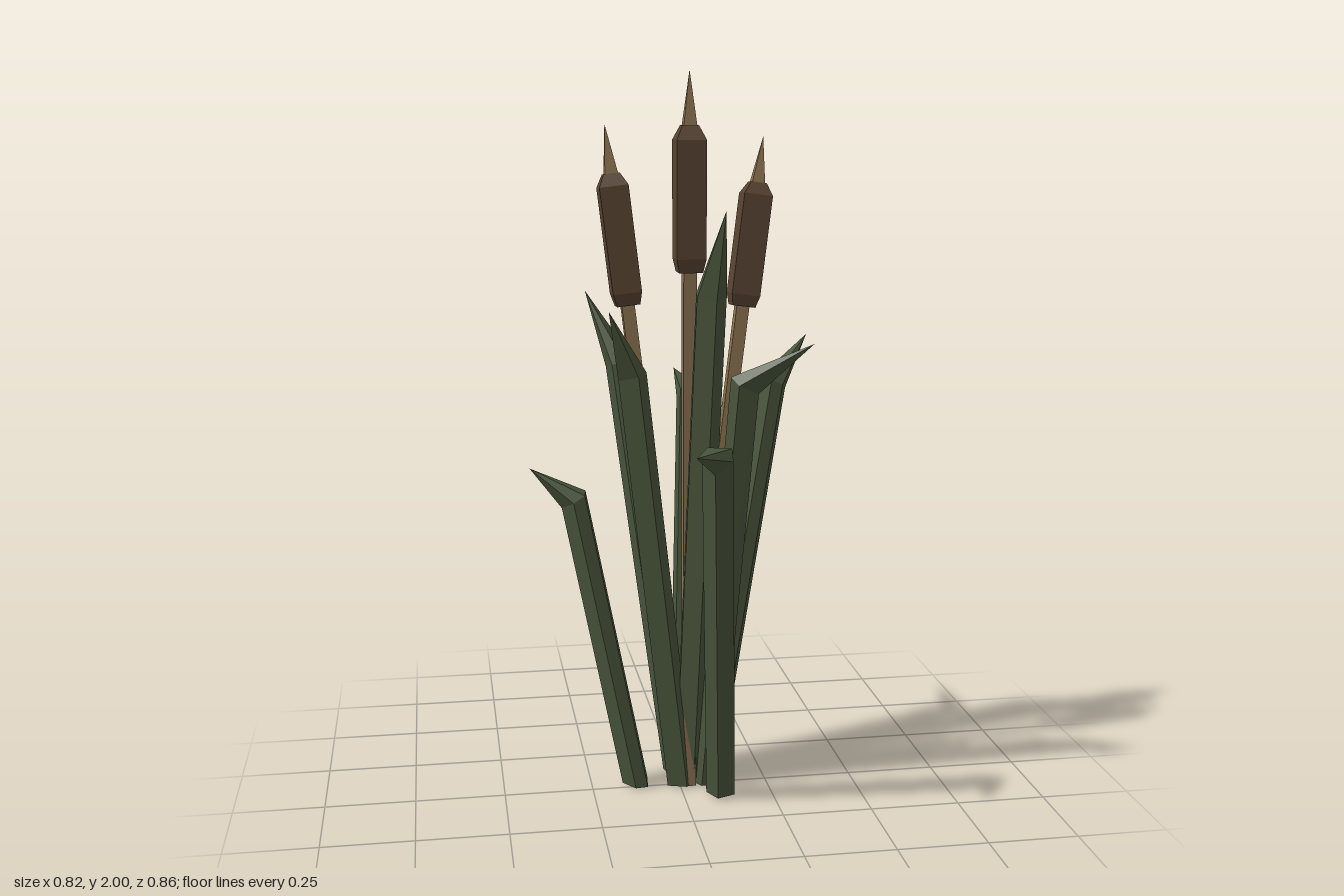
import * as THREE from 'three';

const UP = new THREE.Vector3(0, 1, 0);
const V = (p) => new THREE.Vector3(...p);
const material = (name, color) => {
  const m = new THREE.MeshStandardMaterial({ color, flatShading: true });
  m.name = name;
  return m;
};

// Keeled blade section: [outward, sideways], ridge on the outer side
const SECTION = [[0.042, 0], [0.004, 0.041], [-0.03, 0.032], [-0.03, -0.032], [0.004, -0.041]];

// A prism from base to bend, then a pointed end folded outward to the tip
function leafGeometry(base, bend, tip) {
  const [a, b, c] = [base, bend, tip].map(V);
  const out = c.clone().sub(a).setY(0).normalize();
  const side = UP.clone().cross(out);
  const lower = b.clone().sub(a).normalize();
  const mid = c.clone().sub(b).normalize().add(lower).normalize();
  const mitre = side.clone().cross(mid).normalize().divideScalar(mid.dot(lower));
  const ring = (centre, o) => SECTION.map(([u, v]) =>
    centre.clone().addScaledVector(o, u).addScaledVector(side, v));
  const low = ring(a, out), high = ring(b, mitre), points = [];
  const n = SECTION.length;
  for (let i = 0; i < n; i++) {
    const j = (i + 1) % n;
    points.push(low[i], low[j], high[j], low[i], high[j], high[i]); // blade side
    points.push(high[i], high[j], c); // pointed end
    points.push(a, low[j], low[i]); // underside
  }
  const g = new THREE.BufferGeometry().setFromPoints(points);
  g.computeVertexNormals();
  return g;
}

// Square-sided turned form; profile is [half width, height]
function squareLathe(profile) {
  const points = profile.map(([w, y]) => new THREE.Vector2(w * Math.SQRT2, y));
  return new THREE.LatheGeometry(points, 4, Math.PI / 4);
}

export function createModel() {
  const group = new THREE.Group();
  group.name = 'reedClump';
  const leafGreen = material('leafGreen', 0x4a553c);
  const stemTan = material('stemTan', 0x8a7150);
  const headBrown = material('headBrown', 0x584331);

  const add = (parent, name, geometry, mat) => {
    const mesh = new THREE.Mesh(geometry, mat);
    mesh.name = name;
    parent.add(mesh);
  };

  // Leaves: base, bend, tip
  const leaves = [
    [[0.02, 0, -0.05], [0.07, 1.09, -0.235], [0.05, 1.14, -0.43]],
    [[0.11, 0, -0.125], [0.305, 1.13, -0.19], [0.41, 1.26, -0.24]],
    [[0.005, 0, -0.085], [-0.145, 1.2, -0.175], [-0.235, 1.4, -0.22]],
    [[-0.12, 0, -0.02], [-0.285, 0.84, -0.045], [-0.41, 0.93, -0.055]],
    [[0, 0, -0.005], [-0.14, 1.2, 0.045], [-0.205, 1.38, 0.11]],
    [[0.105, 0, 0.085], [0.05, 1.02, 0.315], [-0.025, 1.05, 0.43]],
    [[0.03, 0, -0.02], [0.058, 1.42, 0.165], [0.078, 1.65, 0.265]],
    [[0.085, 0, 0], [0.165, 1.18, 0.105], [0.32, 1.3, 0.228]],
  ];
  leaves.forEach((l, i) => add(group, `leaf${i + 1}`, leafGeometry(...l), leafGreen));

  // Reeds: stem foot, bottom of the seed head, tip of the spike
  const reeds = [
    [[0.025, 0, 0.01], [0.025, 1.47, 0.01], [0.025, 2, 0.01]],
    [[0.03, 0, -0.04], [-0.127, 1.37, -0.115], [-0.185, 1.86, -0.13]],
    [[0.015, 0, -0.04], [0.193, 1.36, -0.122], [0.26, 1.825, -0.16]],
  ];
  reeds.forEach(([foot, neck, tip], i) => {
    const f = V(foot), length = V(neck).distanceTo(f), k = V(tip).distanceTo(V(neck));
    const reed = new THREE.Group();
    reed.name = `reed${i + 1}`;
    reed.position.copy(f);
    reed.quaternion.setFromUnitVectors(UP, V(tip).sub(f).normalize());
    group.add(reed);
    const at = (t) => length + t * k;
    add(reed, 'stem', squareLathe([[0, 0], [0.018, 0], [0.018, at(0.02)]]), stemTan);
    add(reed, 'seedHead', squareLathe([[0, at(0)], [0.032, at(0)], [0.04, at(0.07)],
      [0.04, at(0.66)], [0.022, at(0.73)], [0, at(0.73)]]), headBrown);
    add(reed, 'spike', squareLathe([[0.018, at(0.73)], [0, at(1)]]), stemTan);
  });
  return group;
}
